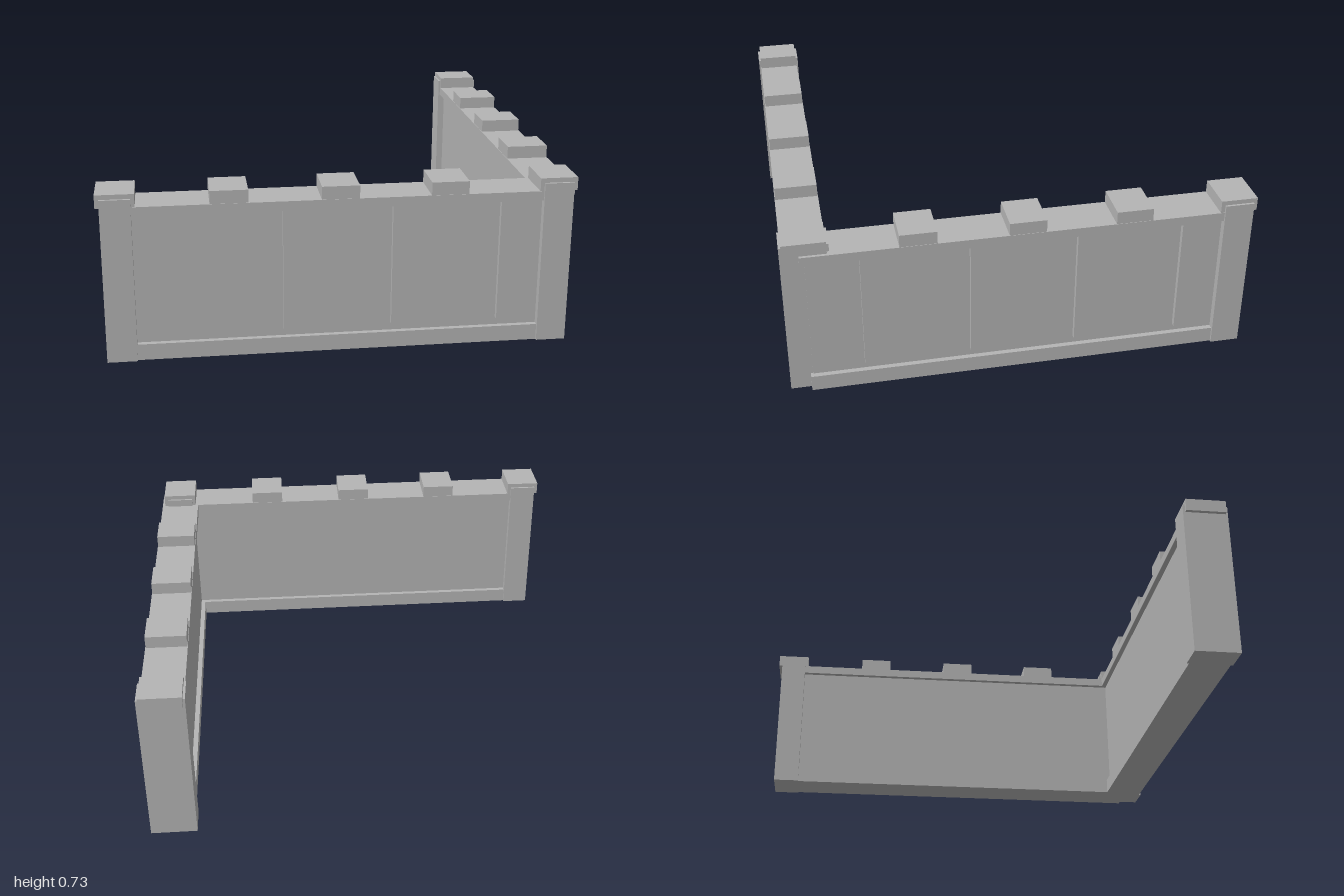
import * as THREE from 'three';

export function createModel() {
  const model = new THREE.Group();
  model.name = 'cornerWall';
  const stone = new THREE.MeshStandardMaterial({ color: 0xb4b4b4 });
  stone.name = 'grey stone';

  // Box between two corners
  function box(parent, name, x0, x1, y0, y1, z0, z1) {
    const mesh = new THREE.Mesh(new THREE.BoxGeometry(x1 - x0, y1 - y0, z1 - z0), stone);
    mesh.position.set((x0 + x1) / 2, (y0 + y1) / 2, (z0 + z1) / 2);
    mesh.name = name;
    parent.add(mesh);
  }

  // Wall along local x, outer side facing +z, with its thickness centred on z = 0
  function wall(name, start, end) {
    const g = new THREE.Group();
    g.name = name;
    box(g, 'panel', start, end - 0.02, 0.05, 0.65, -0.068, 0.068);
    box(g, 'base', start, end - 0.01, 0, 0.07, -0.09, 0.09);
    box(g, 'topRail', start, end, 0.63, 0.67, -0.092, 0.092);
    for (let i = 0; i < 4; i++) {
      const x = -0.692 + i * 0.4535;
      box(g, 'rib', x - 0.012, x + 0.012, 0.105, 0.63, 0.06, 0.09);
    }
    for (let i = 0; i < 3; i++) {
      const x = -0.467 + i * 0.4535;
      box(g, 'merlon', x - 0.078, x + 0.078, 0.66, 0.725, -0.09, 0.09);
    }
    model.add(g);
    return g;
  }

  // End post with a cap narrower than the post across the wall
  function post(parent, x) {
    box(parent, 'post', x - 0.0625, x + 0.0625, 0, 0.705, -0.1, 0.1);
    box(parent, 'cap', x - 0.079, x + 0.079, 0.668, 0.725, -0.09, 0.09);
  }

  const front = wall('frontWall', -0.92, 0.9);
  front.position.z = 0.897;
  post(front, -0.921);
  post(front, 0.897);

  // Side wall: its length runs along z, outer face towards +x
  const side = wall('sideWall', -0.91, 0.92);
  side.scale.x = 1;
  side.rotation.y = Math.PI / 2;
  side.position.x = 0.897;
  // Turn the local run so that its start lies at the back
  side.children.forEach((m) => { m.position.x *= -1; });
  const end = new THREE.Group();
  end.name = 'backPost';
  post(end, 0.921);
  side.add(end);

  return model;
}
